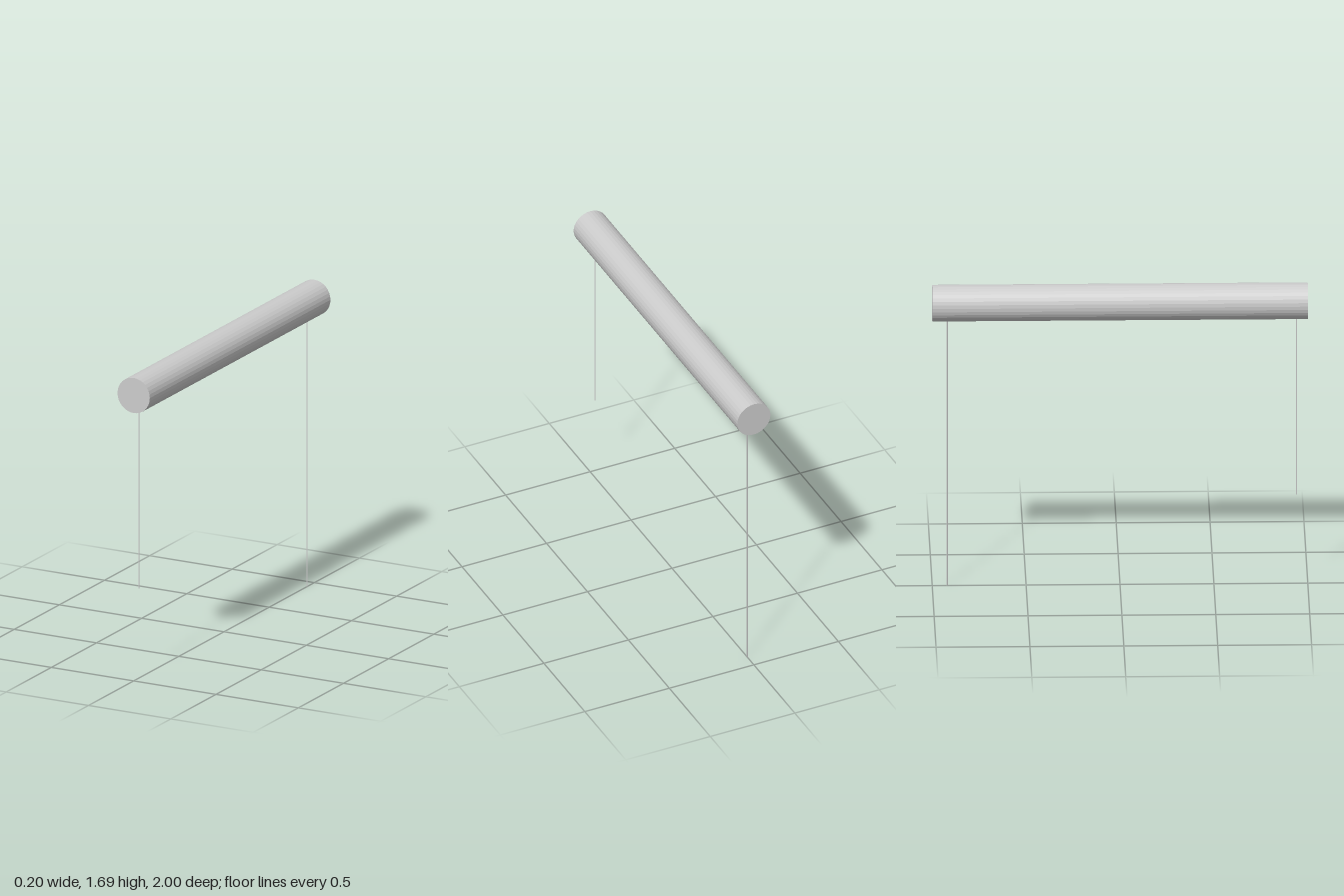
import * as THREE from 'three';

export function createModel() {
  const group = new THREE.Group();
  const barRadius = 0.098;
  const barHeight = 1.592;
  const material = new THREE.MeshStandardMaterial({ color: 0xcccccc, flatShading: true });

  // Horizontal round bar running front to back
  const barGeometry = new THREE.CylinderGeometry(barRadius, barRadius, 2, 32);
  barGeometry.rotateX(Math.PI / 2);
  const bar = new THREE.Mesh(barGeometry, material);
  bar.name = 'bar';
  bar.position.y = barHeight;
  group.add(bar);

  // Thin wire hanging from the underside of the bar
  function addWire(name, z, bottom) {
    const top = barHeight - barRadius + 0.002;
    const wire = new THREE.Mesh(
      new THREE.CylinderGeometry(0.003, 0.003, top - bottom, 16),
      material
    );
    wire.name = name;
    wire.position.set(0, (top + bottom) / 2, z);
    group.add(wire);
  }
  addWire('frontWire', 0.94, 0.5);
  addWire('backWire', -0.92, 0);

  return group;
}
